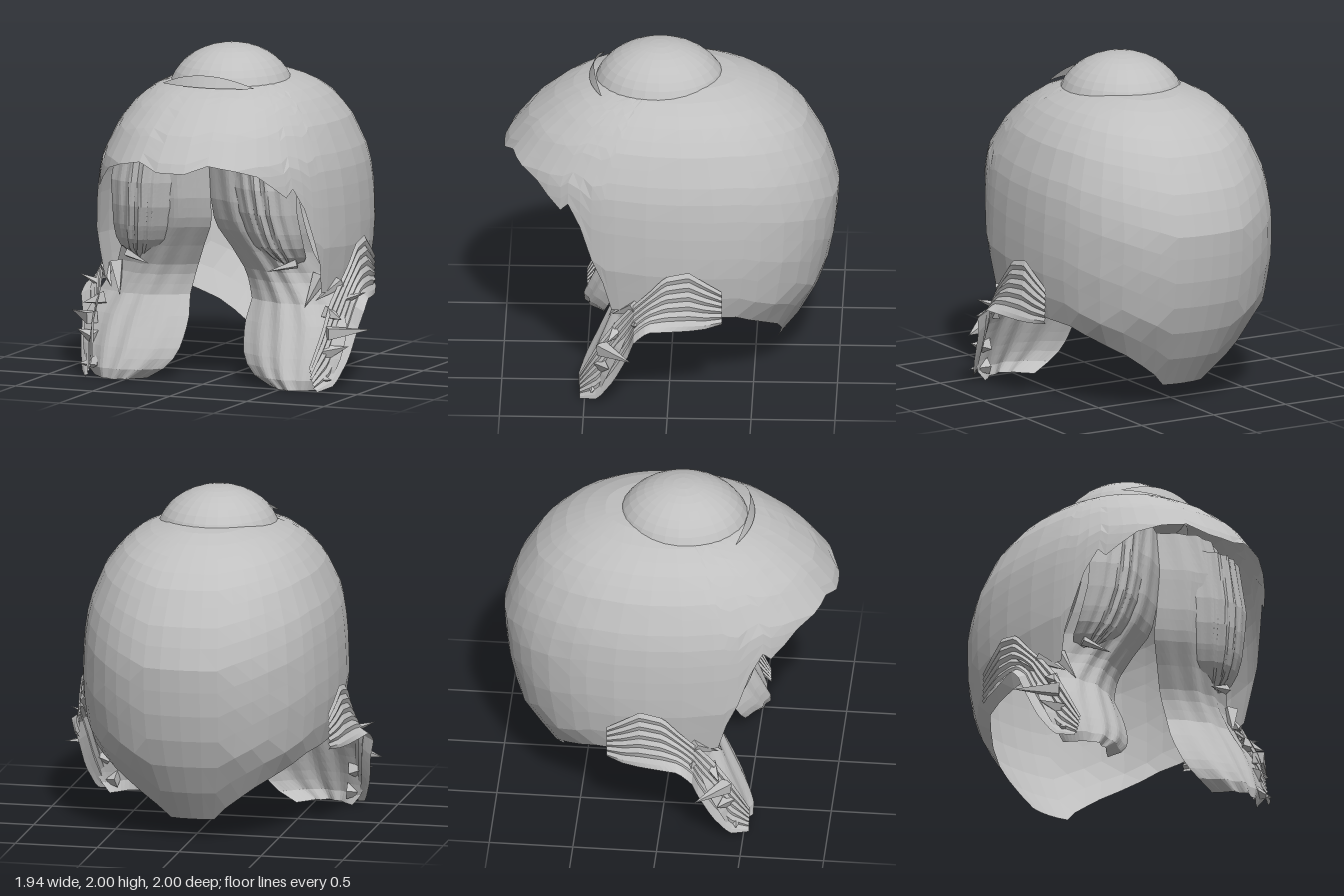
import * as THREE from 'three';

const hair = new THREE.MeshStandardMaterial({ color: 0xc0c0c0, side: THREE.DoubleSide, flatShading: true });
hair.name = 'hair grey';

// Piecewise-linear lookup: rows are [key, a, b, ...] sorted by rising key
function lookup(rows, key) {
  let i = 0;
  while (i < rows.length - 2 && key > rows[i + 1][0]) i++;
  const [p, q] = [rows[i], rows[i + 1]];
  const f = THREE.MathUtils.clamp((key - p[0]) / (q[0] - p[0]), 0, 1);
  return p.slice(1).map((v, k) => v + (q[k + 1] - v) * f);
}

// Surface through a grid of points
function grid(nu, nv, point) {
  const pos = [], idx = [];
  for (let i = 0; i <= nu; i++) {
    for (let j = 0; j <= nv; j++) {
      pos.push(...point(i, j));
      if (i < nu && j < nv) {
        const a = i * (nv + 1) + j, b = a + nv + 1;
        idx.push(a, a + 1, b, b, a + 1, b + 1);
      }
    }
  }
  const g = new THREE.BufferGeometry();
  g.setAttribute('position', new THREE.Float32BufferAttribute(pos, 3));
  g.setIndex(idx);
  g.computeVertexNormals();
  return g;
}

function add(parent, name, geometry) {
  const m = new THREE.Mesh(geometry, hair);
  m.name = name;
  parent.add(m);
  return m;
}

// Cap slices: height, front reach, back reach, half width
const SLICES = [
  [0.12, 0.6, 0.65, 0.45], [0.3, 0.7, 0.78, 0.57], [0.56, 0.9, 0.92, 0.74],
  [0.85, 1, 0.98, 0.775], [1.1, 1, 1, 0.765], [1.25, 1, 0.96, 0.75],
  [1.36, 1, 0.92, 0.725], [1.55, 0.85, 0.81, 0.645], [1.67, 0.7, 0.69, 0.555],
  [1.74, 0.58, 0.58, 0.47], [1.79, 0.44, 0.46, 0.37], [1.82, 0.28, 0.36, 0.26],
  [1.85, 0, 0, 0],
];
// Cap lower edge: angle from the front, height
const EDGE = [
  [0, 1.34], [0.1, 1.34], [0.28, 1.39], [0.5, 1.36], [0.68, 1.32], [0.9, 1.18], [0.96, 1.23],
  [1.05, 1.1], [1.13, 0.9], [1.19, 0.75], [1.22, 0.57], [1.28, 0.57], [1.46, 0.55], [2.0, 0.5],
  [2.12, 0.45], [2.47, 0.33], [2.75, 0.2], [2.88, 0.12], [Math.PI, 0.12],
];

// One half of the cap, from the front middle to the back middle
function capGeometry(side) {
  const angles = [];
  for (let i = 0; i < EDGE.length - 1; i++) {
    const a = EDGE[i][0], d = EDGE[i + 1][0] - a, n = Math.ceil(d / 0.2);
    for (let k = 0; k < n; k++) angles.push(a + d * k / n);
  }
  angles.push(Math.PI);
  const rows = 16, pow = v => Math.sign(v) * Math.abs(v) ** 0.91;
  return grid(angles.length - 1, rows, (i, j) => {
    const a = angles[i], low = lookup(EDGE, a)[0];
    const y = 1.85 - (1.85 - low) * (j / rows) ** 1.8;
    const [front, back, w] = lookup(SLICES, y);
    const c = Math.cos(a);
    return [side * w * Math.abs(Math.sin(a)) ** 0.91, y, pow(c) * (c > 0 ? front : back)];
  });
}

// Hanging lock: rows of height, inner x, outer x, depth; ridged and bowed forward
function lockGeometry(rows, side, bow, ridge, waves) {
  const nv = 24, nu = 26, y0 = rows[0][0], y1 = rows[rows.length - 1][0];
  return grid(nu, nv, (i, j) => {
    const y = y0 + (y1 - y0) * i / nu, u = j / nv;
    const [xin, xout, z] = lookup(rows, y);
    const bulge = Math.sin(Math.PI * u);
    return [side * (xin + (xout - xin) * u), y,
      z - bow + bow * bulge + ridge * bulge * Math.cos(u * waves * Math.PI * 2 + y * 5)];
  });
}

const LONG_LOCK = [
  [0, 0.4, 0.74, 0.53], [0.04, 0.32, 0.78, 0.54], [0.1, 0.25, 0.81, 0.52], [0.2, 0.2, 0.84, 0.48],
  [0.35, 0.18, 0.85, 0.41], [0.5, 0.2, 0.78, 0.34], [0.65, 0.16, 0.68, 0.33], [0.8, 0.09, 0.62, 0.39],
  [0.95, 0.01, 0.6, 0.46], [1.1, 0, 0.58, 0.5], [1.34, 0, 0.58, 0.53], [1.6, 0, 0.48, 0.5],
];
const FRONT_LOCK = [
  [0.72, 0.42, 0.54, 0.35], [0.77, 0.34, 0.6, 0.41], [0.84, 0.28, 0.61, 0.47], [0.92, 0.25, 0.61, 0.51],
  [1.05, 0.22, 0.6, 0.55], [1.2, 0.2, 0.6, 0.57], [1.5, 0.18, 0.55, 0.56],
];
// Side tuft: depth, lower y, upper y, lower x, upper x
const TUFT = [
  [-0.32, 0.51, 0.72, 0.76, 0.755], [-0.22, 0.5, 0.79, 0.81, 0.77], [-0.12, 0.5, 0.86, 0.84, 0.78],
  [0.02, 0.51, 0.83, 0.88, 0.785], [0.12, 0.52, 0.72, 0.91, 0.78], [0.2, 0.46, 0.64, 0.92, 0.77],
  [0.24, 0.34, 0.6, 0.89, 0.76], [0.32, 0.18, 0.5, 0.87, 0.74], [0.42, 0.03, 0.36, 0.82, 0.74],
  [0.53, 0, 0.14, 0.75, 0.7],
];
// Loose strand tips: base point, tip point, base radius
const SPIKES = [
  [0.76, 0.34, 0.4, 0.97, 0.35, 0.22, 0.05], [0.8, 0.52, 0.2, 0.93, 0.57, 0.2, 0.025],
  [0.74, 0.22, 0.4, 0.88, 0.26, 0.35, 0.05], [0.7, 0.08, 0.44, 0.82, 0.07, 0.46, 0.05],
  [0.72, 0.45, 0.3, 0.84, 0.42, 0.36, 0.05], [0.55, 0.74, 0.36, 0.38, 0.69, 0.42, 0.03],
  [0.66, 0.66, 0.26, 0.6, 0.48, 0.36, 0.05], [0.76, 0.62, 0.2, 0.66, 0.52, 0.34, 0.04],
];

function buildSide(side) {
  const g = new THREE.Group();
  g.name = side > 0 ? 'leftHalf' : 'rightHalf';
  add(g, 'cap', capGeometry(side));
  add(g, 'longLock', lockGeometry(LONG_LOCK, side, 0.12, 0.01, 4));
  add(g, 'frontLock', lockGeometry(FRONT_LOCK, side, 0.08, 0.01, 5));
  // Fan of hair that flares off the cap, then sweeps forward and down
  add(g, 'sideTuft', grid(26, 12, (i, j) => {
    const z = -0.32 + 0.85 * i / 26, v = j / 12;
    const [lo, hi, xLo, xHi] = lookup(TUFT, z);
    return [side * (xLo + (xHi - xLo) * Math.sqrt(v) + (j % 2) * 0.012), lo + (hi - lo) * v, z];
  }));
  for (const [x, y, z, tx, ty, tz, r] of SPIKES) {
    const from = new THREE.Vector3(side * x, y, z), dir = new THREE.Vector3(side * tx, ty, tz).sub(from);
    const len = dir.length();
    const m = add(g, 'strandTip', new THREE.ConeGeometry(r, len, 4).translate(0, len / 2, 0));
    m.quaternion.setFromUnitVectors(new THREE.Vector3(0, 1, 0), dir.normalize());
    m.position.copy(from);
  }
  return g;
}

export function createModel() {
  const model = new THREE.Group();
  model.name = 'hair';
  for (const side of [1, -1]) model.add(buildSide(side));

  // Raised crown
  const crown = add(model, 'crown', new THREE.SphereGeometry(1, 28, 10, 0, Math.PI * 2, 0, Math.PI / 2));
  crown.scale.set(0.37, 0.3, 0.4);
  crown.position.set(0, 1.7, 0.07);

  // Thin crescent at the front of the crown
  add(model, 'crownCrescent', grid(16, 2, (i, j) => {
    const u = i / 8 - 1, k = 1 - u * u, v = j / 2;
    return [0.3 * u, 1.785 + k * 0.07 * v, 0.41 + 0.085 * k - 0.03 * k * v];
  }));
  return model;
}
